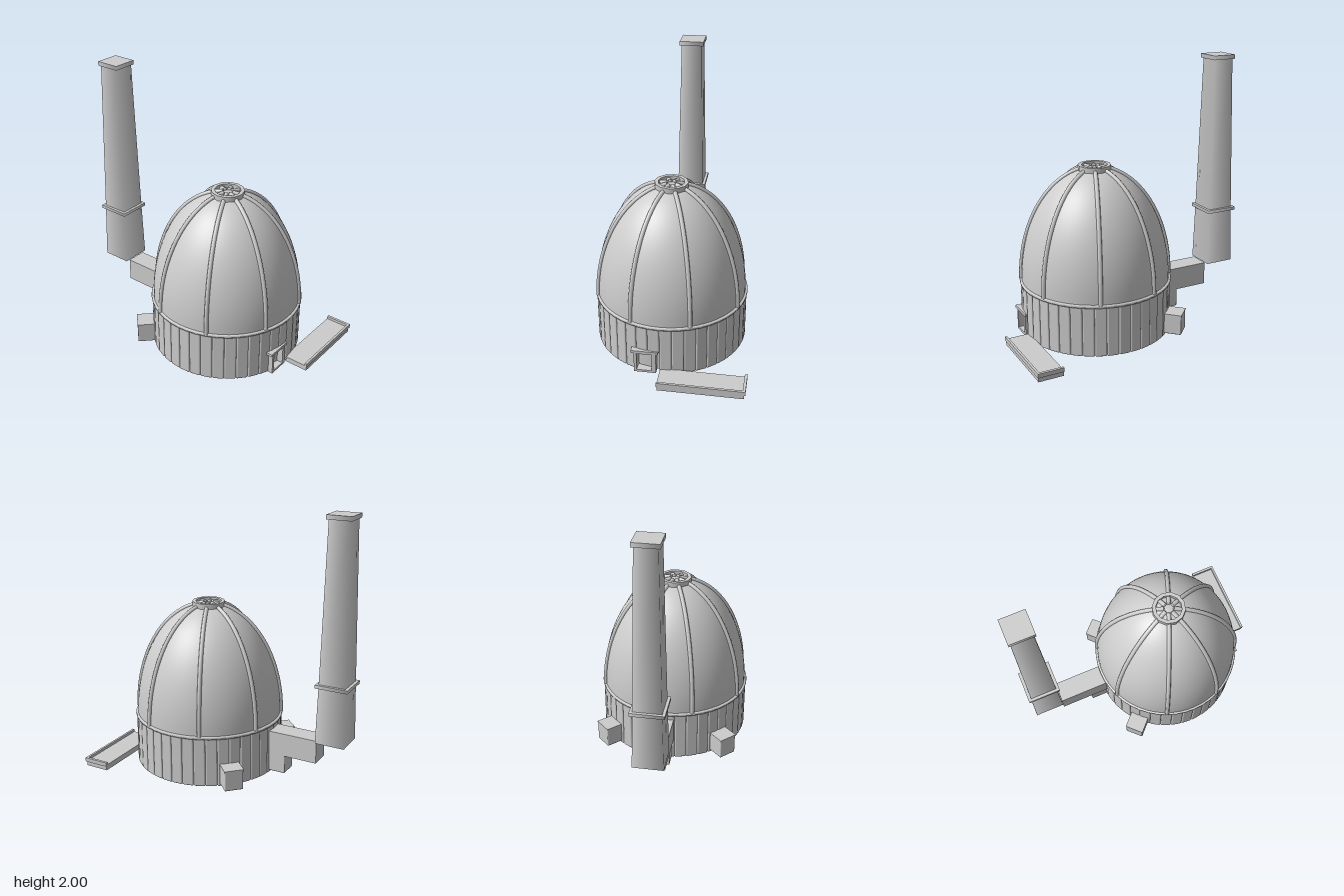
import * as THREE from 'three';
import { RoundedBoxGeometry } from 'three/addons/geometries/RoundedBoxGeometry.js';

export function createModel() {
  const group = new THREE.Group();
  const stone = new THREE.MeshStandardMaterial({ color: 0xcccccc });
  stone.name = 'pale grey stone';
  const CX = -0.03, CZ = 0.215; // axis of the round kiln

  const add = (name, geo, x, y, z, parent = group) => {
    const m = new THREE.Mesh(geo, stone);
    m.name = name;
    m.position.set(x, y, z);
    parent.add(m);
    return m;
  };
  const box = (name, x0, x1, y0, y1, z0, z1, parent) => add(name,
    new THREE.BoxGeometry(x1 - x0, y1 - y0, z1 - z0),
    (x0 + x1) / 2, (y0 + y1) / 2, (z0 + z1) / 2, parent);
  const ring = (name, pts, seg) => add(name,
    new THREE.LatheGeometry(pts.map(p => new THREE.Vector2(...p)), seg).toNonIndexed(), CX, 0, CZ);

  // Inner drum that closes the base
  add('innerDrum', new THREE.CylinderGeometry(0.525, 0.525, 0.375, 48), CX, 0.2075, CZ);

  // Vertical wall staves; shortened above the doorway
  const wall = new THREE.Group();
  wall.name = 'wallStaves';
  group.add(wall);
  const N = 40;
  for (let i = 0; i < N; i++) {
    const a = (i + 0.5) / N * Math.PI * 2;
    const x = CX + Math.sin(a) * 0.534, z = CZ + Math.cos(a) * 0.534;
    const overDoor = z > CZ && Math.abs(x + 0.14) < 0.085;
    const y0 = overDoor ? 0.185 : 0.01, y1 = 0.392;
    const s = add('stave', new RoundedBoxGeometry(0.087, y1 - y0, 0.055, 2, 0.012),
      x, (y0 + y1) / 2, z, wall);
    s.rotation.y = a;
  }

  // Band between wall and dome
  ring('wallBand', [[0.52, 0.383], [0.566, 0.383], [0.57, 0.394], [0.566, 0.405], [0.54, 0.405]], 48);

  // Dome on a half-ellipse profile
  const domeAt = (t, off = 0) => [
    (0.553 + off) * Math.cos(t), 0.4 + (0.85 + off) * Math.sin(t)];
  const profile = [];
  for (let i = 0; i <= 24; i++) profile.push(new THREE.Vector2(...domeAt(i / 24 * Math.PI / 2)));
  profile[24].x = 0;
  add('dome', new THREE.LatheGeometry(profile, 64), CX, 0, CZ);

  // Eight iron-style ribs over the dome
  const ribPts = [];
  for (let i = 0; i <= 12; i++) {
    const [r, y] = domeAt(i / 12 * 1.50, 0.004);
    ribPts.push(new THREE.Vector3(r, y, 0));
  }
  const ribGeo = new THREE.TubeGeometry(new THREE.CatmullRomCurve3(ribPts), 32, 0.016, 8);
  for (let i = 0; i < 8; i++) {
    const rib = add('domeRib', ribGeo, CX, 0, CZ);
    rib.rotation.y = (i + 0.5) * Math.PI / 4;
    const cap = add('ribEnd', new THREE.SphereGeometry(0.016, 8, 6), ribPts[12].x, ribPts[12].y, 0, rib);
    cap.scale.x = 0.5;
  }

  // Crown collar around the vent
  ring('crownCollar', [[0.1, 1.225], [0.122, 1.225], [0.122, 1.225], [0.122, 1.268],
    [0.122, 1.268], [0.095, 1.268], [0.095, 1.268], [0.095, 1.225]], 12);

  // Fire boxes on the back and both back corners
  for (const a of [135, 180, 225]) {
    const h = new THREE.Group();
    h.name = 'fireBox';
    h.position.set(CX, 0, CZ);
    h.rotation.y = a * Math.PI / 180;
    group.add(h);
    add('fireBoxBody', new RoundedBoxGeometry(0.14, 0.155, 0.187, 2, 0.008), 0, 0.108, 0.592, h);
    box('fireBoxLid', -0.072, 0.072, 0.178, 0.188, 0.5, 0.687, h);
  }

  // Doorway frame with recess
  const frame = new THREE.Shape([[-0.215, 0.012], [-0.055, 0.012], [-0.055, 0.18], [-0.215, 0.18]]
    .map(p => new THREE.Vector2(...p)));
  frame.holes.push(new THREE.Path([[-0.195, 0.03], [-0.195, 0.168], [-0.085, 0.168], [-0.085, 0.03]]
    .map(p => new THREE.Vector2(...p))));
  add('doorFrame', new THREE.ExtrudeGeometry(frame, { depth: 0.085, bevelEnabled: false }), 0, 0, 0.697);
  box('doorLintel', -0.235, -0.04, 0.176, 0.196, 0.70, 0.787);

  // Low tray beside the door
  box('trayBase', -0.02, 0.59, 0, 0.035, 0.765, 0.95);
  box('trayFloor', -0.025, 0.6, 0.035, 0.045, 0.763, 0.957);
  box('trayFrontLip', -0.025, 0.6, 0.045, 0.066, 0.94, 0.957);
  box('trayEndLip', 0.58, 0.6, 0.045, 0.066, 0.763, 0.94);

  // Flue from kiln to chimney
  box('flue', -0.11, 0.045, 0.175, 0.352, -0.722, -0.28);

  // Square tapered chimney with belt and cap
  const square = (name, halfTop, halfBottom, y0, y1) => {
    const m = add(name, new THREE.CylinderGeometry(halfTop * Math.SQRT2, halfBottom * Math.SQRT2, y1 - y0, 4),
      CX, (y0 + y1) / 2, -0.837);
    m.rotation.y = Math.PI / 4;
  };
  square('chimneyFoot', 0.101, 0.111, 0.352, 0.785);
  square('chimneyShaft', 0.078, 0.101, 0.785, 1.97);
  square('chimneyBelt', 0.122, 0.122, 0.777, 0.802);
  square('chimneyCap', 0.092, 0.092, 1.968, 2.0);

  return group;
}
